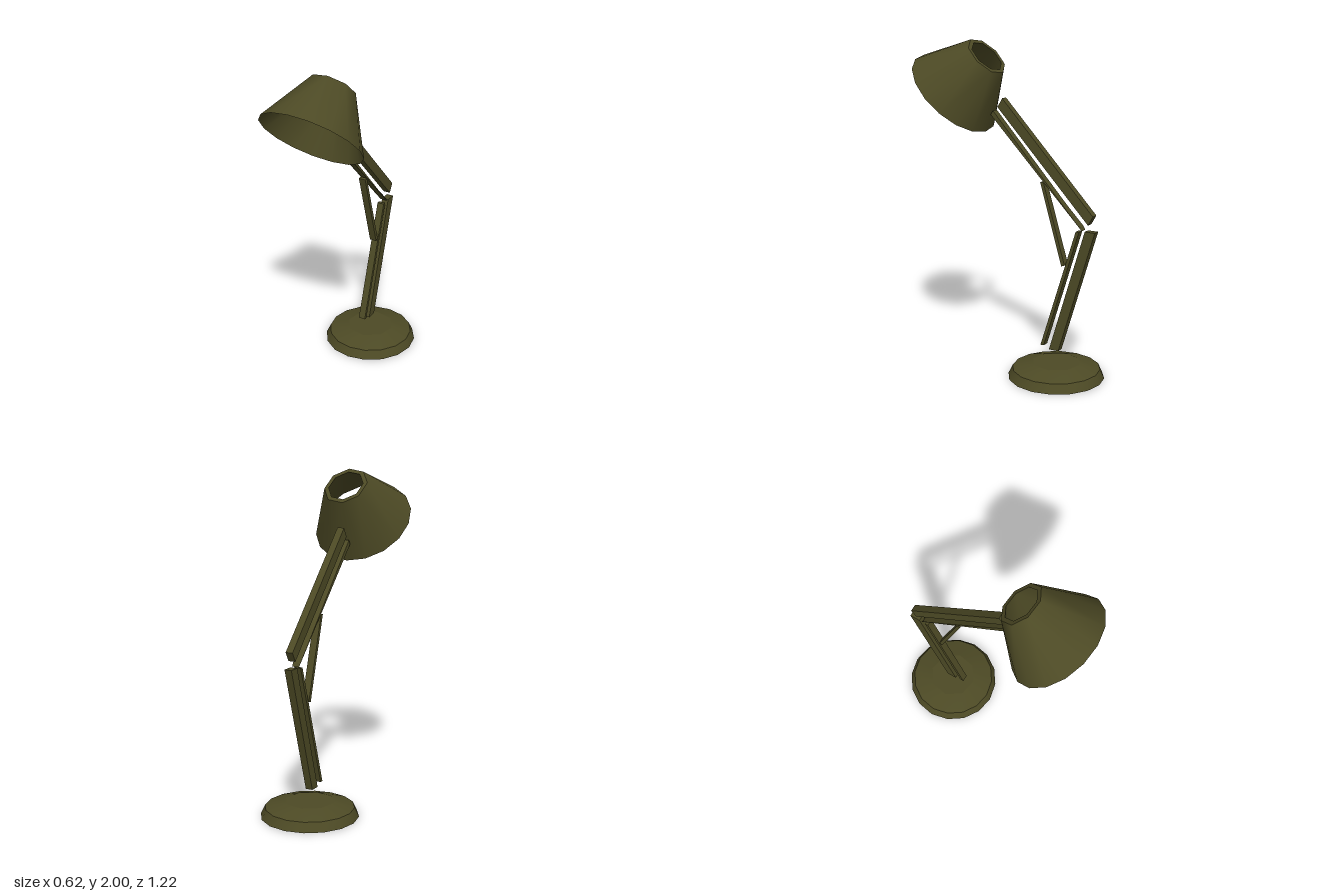
import * as THREE from 'three';
import { mergeVertices } from 'three/addons/utils/BufferGeometryUtils.js';

const SIDES = 16;
const olive = new THREE.MeshStandardMaterial({ color: 0x4d4a25, side: THREE.DoubleSide });
olive.name = 'olive';

// Ring of 16 points; an octagonal ring joins neighbouring points in pairs.
function ring({ r, y, octagon }) {
  return Array.from({ length: SIDES }, (_, j) => {
    const step = octagon ? 2 * Math.floor((j + 1) / 2) - 0.5 : j;
    const a = (step / SIDES) * Math.PI * 2;
    return [r * Math.cos(a), y, r * Math.sin(a)];
  });
}

// Smooth band of faces between two rings.
function band(lower, upper) {
  const b = ring(lower), t = ring(upper), points = [];
  for (let j = 0; j < SIDES; j++) {
    const k = (j + 1) % SIDES;
    points.push(...b[j], ...t[j], ...b[k], ...t[j], ...t[k], ...b[k]);
  }
  const raw = new THREE.BufferGeometry();
  raw.setAttribute('position', new THREE.Float32BufferAttribute(points, 3));
  const geometry = mergeVertices(raw, 1e-5);
  geometry.computeVertexNormals();
  return geometry;
}

// Group of bands through a list of rings, with a crease at each ring.
function loft(name, rings, bandNames) {
  const group = new THREE.Group();
  group.name = name;
  bandNames.forEach((bandName, i) => {
    const mesh = new THREE.Mesh(band(rings[i], rings[i + 1]), olive);
    mesh.name = bandName;
    group.add(mesh);
  });
  return group;
}

// Flat bar from its side outline, given as [z, y] corners.
function bar(name, corners) {
  const shape = new THREE.Shape(corners.map(([z, y]) => new THREE.Vector2(z, y)));
  const geometry = new THREE.ExtrudeGeometry(shape, { depth: 0.044, bevelEnabled: false });
  geometry.rotateY(-Math.PI / 2);
  const mesh = new THREE.Mesh(geometry, olive);
  mesh.name = name;
  return mesh;
}

export function createModel() {
  const lamp = new THREE.Group();
  lamp.name = 'deskLamp';

  // Hollow foot, open underneath
  const base = loft('base', [
    { r: 0.292, y: 0 },
    { r: 0.266, y: 0.055 },
    { r: 0.148, y: 0.09, octagon: true },
    { r: 0, y: 0.09, octagon: true },
  ], ['baseWall', 'baseSlope', 'baseTop']);
  base.position.set(-0.015, 0, -0.319);
  lamp.add(base);

  // Conical shade, open at both ends, thicker at its small end
  const rim = { r: 0.309, y: 0 };
  const shade = loft('shade', [
    rim,
    { r: 0.137, y: 0.327, octagon: true },
    { r: 0.11, y: 0.327, octagon: true },
    rim,
  ], ['shadeOutside', 'shadeCollar', 'shadeInside']);
  shade.position.set(0, 1.675, 0.39);
  shade.rotation.x = -Math.PI / 4;
  lamp.add(shade);

  // Hinged arms with their thin parallel rods and the brace
  lamp.add(
    bar('lowerArm', [[-0.276, 0.165], [-0.339, 0.165], [-0.57, 0.93], [-0.505, 0.93]]),
    bar('lowerRod', [[-0.217, 0.183], [-0.239, 0.183], [-0.467, 0.922], [-0.446, 0.922]]),
    bar('brace', [[-0.207, 1.19], [-0.228, 1.193], [-0.375, 0.707], [-0.354, 0.699]]),
    bar('upperArm', [[0.054, 1.665], [0.086, 1.61], [-0.525, 0.97], [-0.556, 1.025]]),
    bar('upperRod', [[0.118, 1.587], [0.134, 1.562], [-0.474, 0.953], [-0.486, 0.931]].map(
      (p, i, all) => (i < 2 ? p : [[-0.486, 0.932], [-0.475, 0.952]][0] === p ? p : all[i])
    ).sort(() => 0)),
  );
  return lamp;
}
